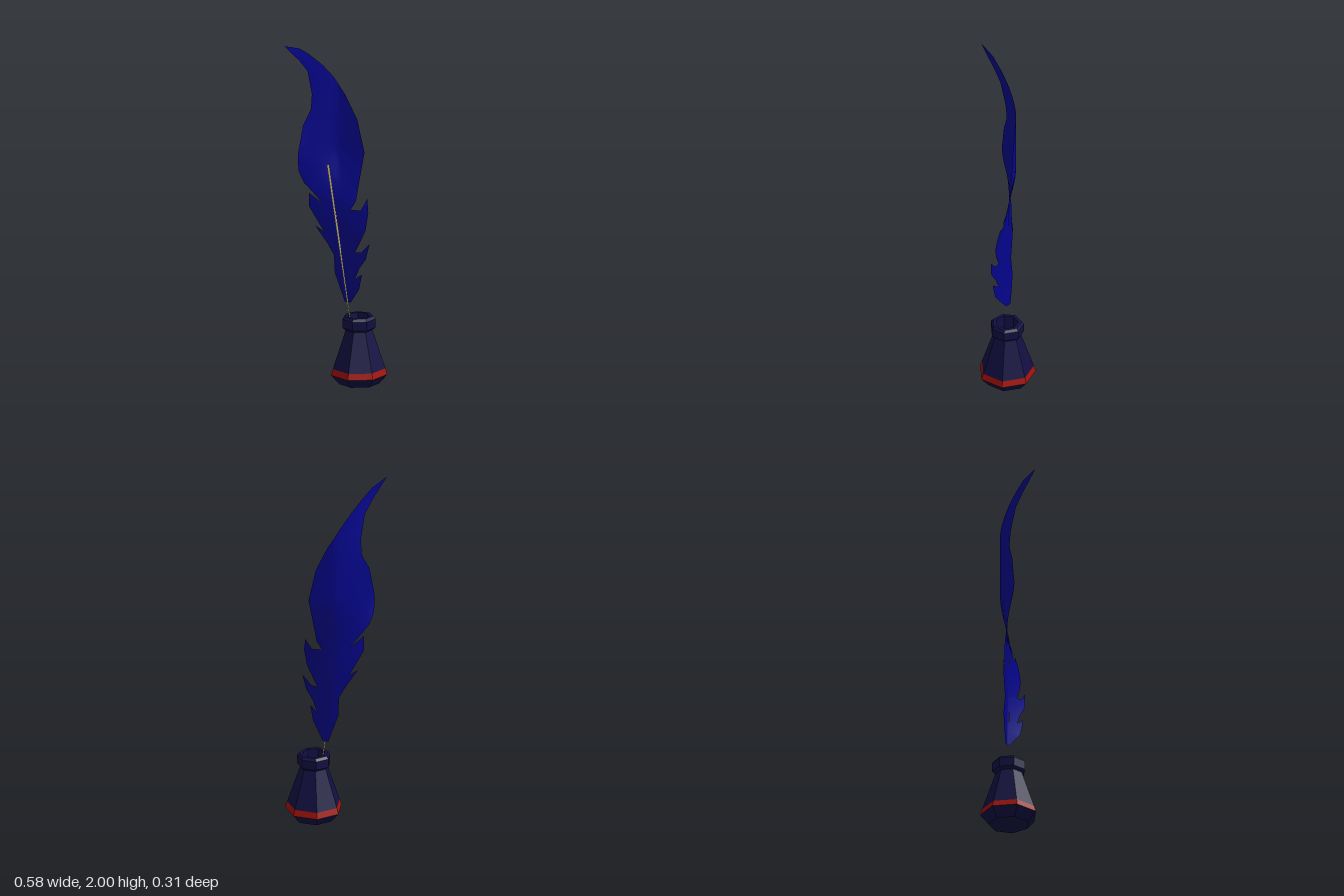
import * as THREE from 'three';
import { mergeVertices } from 'three/addons/utils/BufferGeometryUtils.js';

const { lerp, clamp, smoothstep } = THREE.MathUtils;
const SIDES = 7;
const mat = (color, extra = {}) => new THREE.MeshStandardMaterial({ color, ...extra });

function mesh(name, geometry, material) {
  const m = new THREE.Mesh(geometry, material);
  m.name = name;
  return m;
}

// Seven-sided turned part from [radius, y] pairs, one corner facing the back
function turned(name, profile, material) {
  const pts = profile.map(([r, y]) => new THREE.Vector2(r, y));
  return mesh(name, new THREE.LatheGeometry(pts, SIDES, Math.PI), material);
}

// Quill shaft runs along this line
const shaftX = (y) => 0.08 - (y - 0.39) * 0.1364;

// Depth of the vane: twisted near the quill's foot, cupped forward higher up
function vaneZ(x, y) {
  const slope = clamp(lerp(0.75, 0.2, (y - 0.65) / 0.42), 0.15, 0.9);
  const across = x - shaftX(y);
  const twisted = -0.008 + slope * across * (across > 0 ? 1.25 : 0.65);
  const cup = lerp(0.45, 0.82, smoothstep(y, 1.5, 1.95));
  const cupped = -0.05 + cup * Math.abs(x - 0.02) ** 1.3;
  return lerp(twisted, cupped, smoothstep(y, 1.02, 1.35));
}

// Split every triangle into four
function subdivide(tris) {
  const mid = (a, b) => [(a[0] + b[0]) / 2, (a[1] + b[1]) / 2];
  return tris.flatMap(([a, b, c]) => {
    const ab = mid(a, b), bc = mid(b, c), ca = mid(c, a);
    return [[a, ab, ca], [ab, b, bc], [ca, bc, c], [ab, bc, ca]];
  });
}

function vaneGeometry() {
  // Left edge from foot to tip, with three barbs
  const leftEdge = [
    [0.085, 0.465], [0.13, 0.56], [0.145, 0.65], [0.108, 0.615], [0.13, 0.68],
    [0.165, 0.74], [0.187, 0.83], [0.14, 0.775], [0.108, 0.77], [0.165, 0.9],
    [0.182, 1.0], [0.178, 1.075], [0.14, 1.01], [0.085, 1.01], [0.115, 1.06],
    [0.165, 1.33], [0.125, 1.52], [0.06, 1.66], [-0.005, 1.765], [-0.07, 1.845],
    [-0.14, 1.915], [-0.2, 1.965], [-0.29, 2.0],
  ];
  // Right edge from tip back to foot, with two barbs
  const rightEdge = [
    [-0.2, 1.89], [-0.155, 1.82], [-0.13, 1.68], [-0.135, 1.59], [-0.18, 1.5],
    [-0.21, 1.33], [-0.205, 1.235], [-0.175, 1.165], [-0.068, 1.038], [-0.145, 1.1],
    [-0.145, 1.02], [-0.1, 0.94], [-0.06, 0.87], [-0.11, 0.905], [-0.04, 0.8],
    [-0.005, 0.735], [0.0, 0.63], [0.055, 0.465],
  ];
  const outline = [...leftEdge, ...rightEdge];
  const faces = THREE.ShapeUtils.triangulateShape(
    outline.map(([x, y]) => new THREE.Vector2(x, y)), []);
  let tris = faces.map((f) => f.map((i) => outline[i]));
  for (let i = 0; i < 4; i++) tris = subdivide(tris);

  // Bend the flat sheet
  const positions = tris.flat().flatMap(([x, y]) => [x, y, vaneZ(x, y)]);
  const flat = new THREE.BufferGeometry();
  flat.setAttribute('position', new THREE.Float32BufferAttribute(positions, 3));
  const g = mergeVertices(flat, 1e-5);
  g.computeVertexNormals();
  return g;
}

// Flat shaft, narrowing towards the ink
function shaftGeometry() {
  const foot = 0.31, head = 1.27;
  return new THREE.ShapeGeometry(new THREE.Shape([
    new THREE.Vector2(shaftX(foot) - 0.003, foot),
    new THREE.Vector2(shaftX(foot) + 0.003, foot),
    new THREE.Vector2(shaftX(head) + 0.007, head),
    new THREE.Vector2(shaftX(head) - 0.007, head),
  ]));
}

export function createModel() {
  const model = new THREE.Group();
  model.name = 'quillAndInkwell';

  // Inkwell
  const glass = mat(0x120f42, { flatShading: true });
  const red = mat(0xa01008, { flatShading: true });
  const inkwell = new THREE.Group();
  inkwell.name = 'inkwell';
  inkwell.position.set(0.132, 0, 0.007);
  inkwell.add(
    turned('inkwellBase', [[0, 0], [0.115, 0], [0.162, 0.055]], glass),
    turned('inkwellBand', [[0.162, 0.055], [0.151, 0.09]], red),
    turned('inkwellBody', [
      [0.151, 0.09], [0.077, 0.31], [0.095, 0.325], [0.095, 0.375],
      [0.083, 0.39], [0.064, 0.39], [0.06, 0.3],
    ], glass),
    turned('ink', [[0.062, 0.305], [0, 0.305]], mat(0x040404)),
  );
  model.add(inkwell);

  // Quill
  const quill = new THREE.Group();
  quill.name = 'quill';
  quill.add(mesh('featherVane', vaneGeometry(), mat(0x04048a, { side: THREE.DoubleSide })));
  const shaft = mesh('featherShaft', shaftGeometry(), mat(0xc8b88a, { side: THREE.DoubleSide }));
  shaft.position.z = 0.003;
  quill.add(shaft);
  model.add(quill);

  return model;
}
